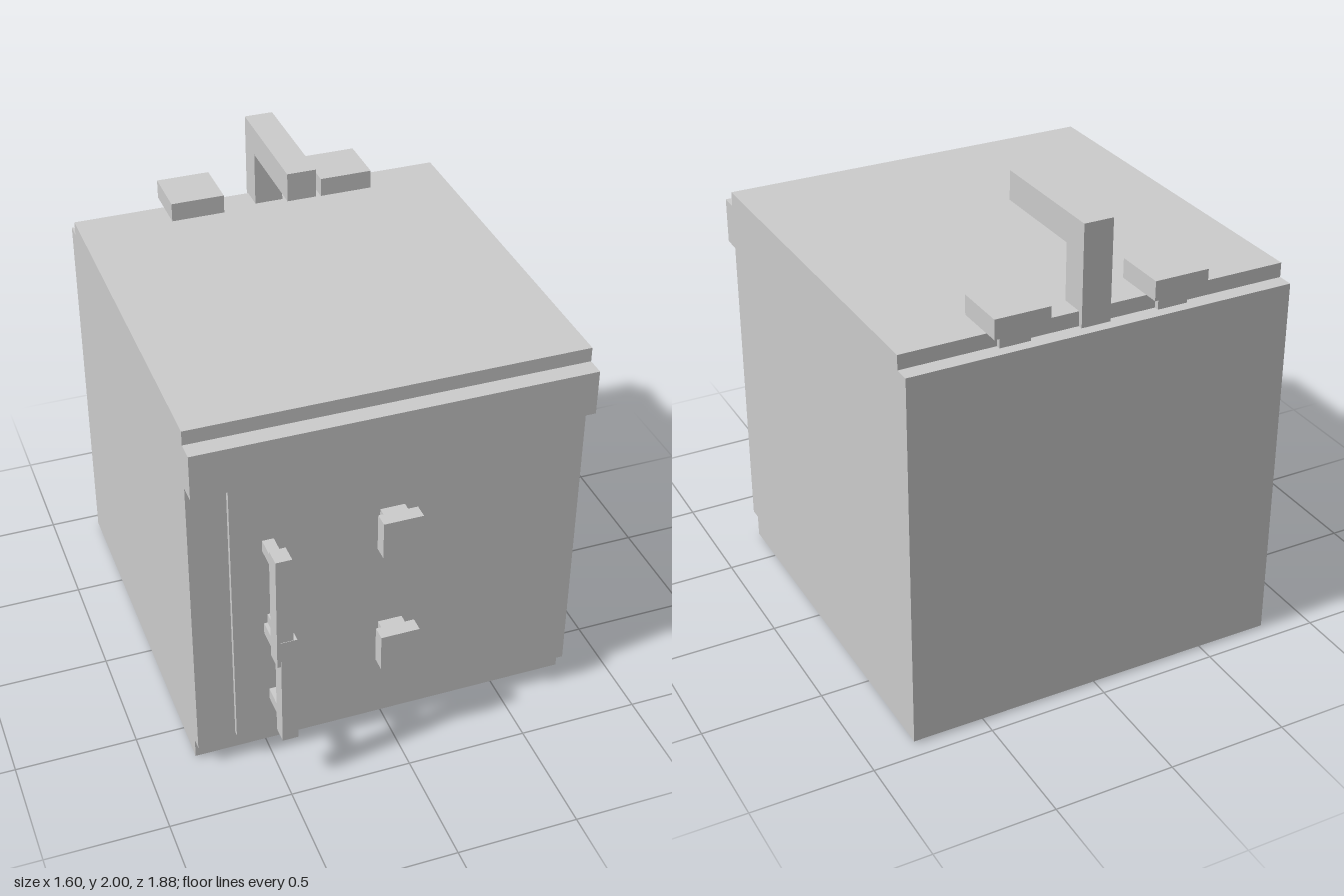
import * as THREE from 'three';

const material = new THREE.MeshStandardMaterial({ color: 0xcccccc, flatShading: true });

// Box given by its limits on each axis
function block(parent, name, [x0, x1], [y0, y1], [z0, z1]) {
  const mesh = new THREE.Mesh(new THREE.BoxGeometry(x1 - x0, y1 - y0, z1 - z0), material);
  mesh.position.set((x0 + x1) / 2, (y0 + y1) / 2, (z0 + z1) / 2);
  mesh.name = name;
  parent.add(mesh);
  return mesh;
}

function part(parent, name) {
  const group = new THREE.Group();
  group.name = name;
  parent.add(group);
  return group;
}

export function createModel() {
  const model = new THREE.Group();
  model.name = 'sinkCabinet';

  // Cabinet: side profile with toe recess, back ledge and front apron, extruded across the width
  const profile = new THREE.Shape([
    [-0.93, 0.01], [0.68, 0.01], [0.68, 0.1], [0.73, 0.1], [0.73, 1.4], [0.805, 1.4],
    [0.805, 1.59], [0.73, 1.59], [0.73, 1.65], [-0.865, 1.65], [-0.865, 1.59], [-0.93, 1.59],
  ].map(([z, y]) => new THREE.Vector2(-z, y)));
  const cabinetGeometry = new THREE.ExtrudeGeometry(profile, { depth: 1.6, bevelEnabled: false });
  cabinetGeometry.translate(0, 0, -0.8).rotateY(Math.PI / 2);
  const cabinet = new THREE.Mesh(cabinetGeometry, material);
  cabinet.name = 'cabinet';
  model.add(cabinet);

  block(model, 'basePlate', [-0.71, 0.71], [0, 0.02], [-0.71, 0.58]);
  block(model, 'door', [-0.645, 0.65], [0.14, 1.4], [0.72, 0.752]);

  // Door knobs
  for (const y of [0.515, 1.075]) {
    const knob = part(model, 'doorKnob');
    block(knob, 'knobStem', [-0.05, 0.05], [y - 0.05, y + 0.05], [0.74, 0.83]);
    block(knob, 'knobHead', [-0.085, 0.075], [y - 0.08, y + 0.08], [0.82, 0.88]);
  }

  // Two-piece pull bar with standoffs
  const handle = part(model, 'pullHandle');
  block(handle, 'upperBar', [-0.53, -0.465], [0.63, 1.14], [0.865, 0.94]);
  block(handle, 'lowerBar', [-0.515, -0.45], [0.245, 0.75], [0.872, 0.942]);
  for (const [x, y] of [[-0.497, 1.075], [-0.497, 0.67], [-0.482, 0.712], [-0.482, 0.325]]) {
    block(handle, 'standoff', [x - 0.023, x + 0.023], [y - 0.025, y + 0.025], [0.74, 0.88]);
  }

  // Faucet
  const faucet = part(model, 'faucet');
  block(faucet, 'post', [-0.04, 0.08], [1.59, 1.88], [-0.885, -0.765]);
  block(faucet, 'spout', [-0.04, 0.08], [1.88, 2], [-0.885, -0.335]);

  // Tap handles on either side of the faucet
  for (const x of [-0.305, 0.35]) {
    const tap = part(model, x < 0 ? 'rightTap' : 'leftTap');
    block(tap, 'tapStem', [x - 0.063, x + 0.063], [1.59, 1.67], [-0.885, -0.765]);
    block(tap, 'tapHandle', [x - 0.113, x + 0.113], [1.66, 1.74], [-0.94, -0.718]);
  }
  return model;
}
